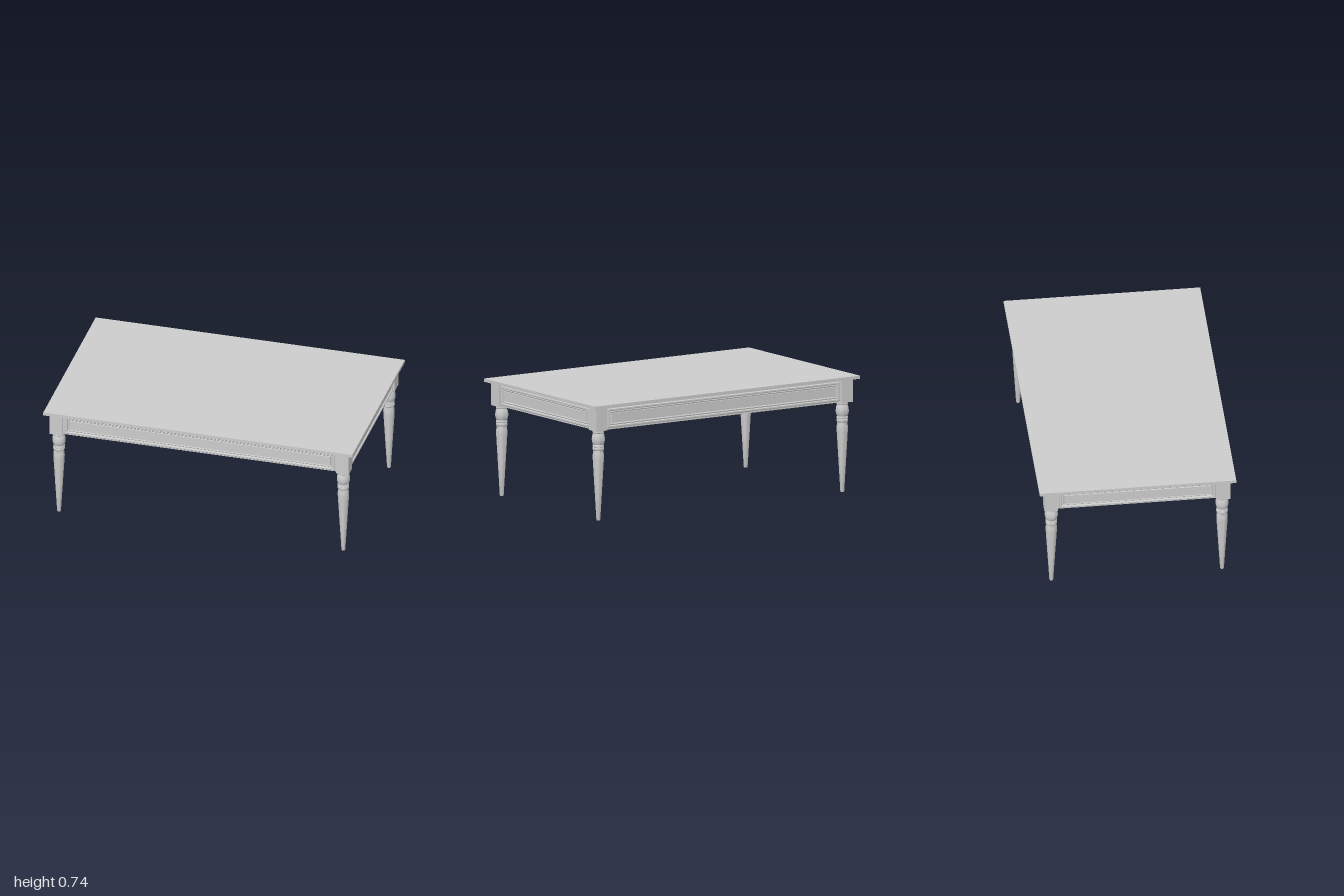
import * as THREE from 'three';
import { toCreasedNormals } from 'three/addons/utils/BufferGeometryUtils.js';

const material = new THREE.MeshStandardMaterial({ color: 0xcccccc });

function addMesh(parent, name, geometry, x = 0, y = 0, z = 0) {
  const mesh = new THREE.Mesh(geometry, material);
  mesh.name = name;
  mesh.position.set(x, y, z);
  parent.add(mesh);
  return mesh;
}

// Rectangular frame of half sizes w, h with an opening; slope chamfers its front edges
function rectPoints(w, h) {
  return [[-w, -h], [w, -h], [w, h], [-w, h]].map(([x, y]) => new THREE.Vector2(x, y));
}
function frame(w, h, inW, inH, depth, slope = 0) {
  const shape = new THREE.Shape(rectPoints(w, h));
  shape.holes.push(new THREE.Path(rectPoints(inW, inH).reverse()));
  return new THREE.ExtrudeGeometry(shape, {
    depth, bevelEnabled: slope > 0, bevelSize: slope, bevelOffset: -slope,
    bevelThickness: slope, bevelSegments: 1,
  });
}

// Raised moulding with a groove and an inner field, built facing +z
function createPanel(name, halfLength) {
  const panel = new THREE.Group();
  panel.name = name;
  addMesh(panel, 'outerMoulding', frame(halfLength, 0.061, halfLength - 0.018, 0.045, 0.01, 0.004));
  addMesh(panel, 'innerMoulding', frame(halfLength - 0.018, 0.045, halfLength - 0.03, 0.033, 0.003, 0.004));
  addMesh(panel, 'field', new THREE.BoxGeometry(2 * (halfLength - 0.032), 0.062, 0.01), 0, 0, 0.005);
  return panel;
}

export function createModel() {
  const table = new THREE.Group();
  table.name = 'table';
  const bottom = 0.572, under = 0.719, top = 0.739, ceiling = 0.684;
  const midY = (bottom + under) / 2;

  // Top board and the lining under it
  addMesh(table, 'tableTop', new THREE.BoxGeometry(2, top - under, 1.234), 0, (top + under) / 2, 0);
  addMesh(table, 'topLining', new THREE.BoxGeometry(1.77, under - ceiling, 1), 0, (under + ceiling) / 2, 0);

  // Apron ring, set back from the corner blocks
  const outX = 0.947, outZ = 0.564;
  const apron = frame(outX, outZ, 0.885, 0.5, under - bottom - 0.001);
  apron.rotateX(-Math.PI / 2);
  addMesh(table, 'apron', apron, 0, bottom + 0.001, 0);

  // Panels on the four sides
  for (const [name, half, x, z, turn] of [
    ['frontPanel', 0.875, 0, outZ, 0],
    ['backPanel', 0.875, 0, -outZ, Math.PI],
    ['leftPanel', 0.49, outX, 0, Math.PI / 2],
    ['rightPanel', 0.49, -outX, 0, -Math.PI / 2],
  ]) {
    const panel = createPanel(name, half);
    panel.position.set(x, midY, z);
    panel.rotation.y = turn;
    table.add(panel);
  }

  // Turned leg profile: radius, height
  const profile = [
    [0, 0], [0.011, 0], [0.0125, 0.006], [0.024, 0.2], [0.035, 0.385], [0.036, 0.405],
    [0.035, 0.42], [0.031, 0.443], [0.034, 0.445], [0.0365, 0.451], [0.0365, 0.46],
    [0.033, 0.466], [0.036, 0.469], [0.036, 0.477], [0.033, 0.482], [0.037, 0.49],
    [0.0405, 0.503], [0.0415, 0.516], [0.04, 0.532], [0.036, 0.547], [0.033, 0.554],
    [0.037, 0.558], [0.037, bottom],
  ].map(([r, y]) => new THREE.Vector2(r, y));
  const legGeometry = toCreasedNormals(new THREE.LatheGeometry(profile, 28), 0.7);
  const blockGeometry = new THREE.BoxGeometry(0.082, under - bottom, 0.084);

  // Corner blocks and legs
  for (const sx of [-1, 1]) {
    for (const sz of [-1, 1]) {
      const corner = (sz > 0 ? 'front' : 'back') + (sx > 0 ? 'Left' : 'Right');
      addMesh(table, corner + 'Block', blockGeometry, sx * 0.926, midY, sz * 0.542);
      addMesh(table, corner + 'Leg', legGeometry, sx * 0.92, 0, sz * 0.536);
    }
  }
  return table;
}
